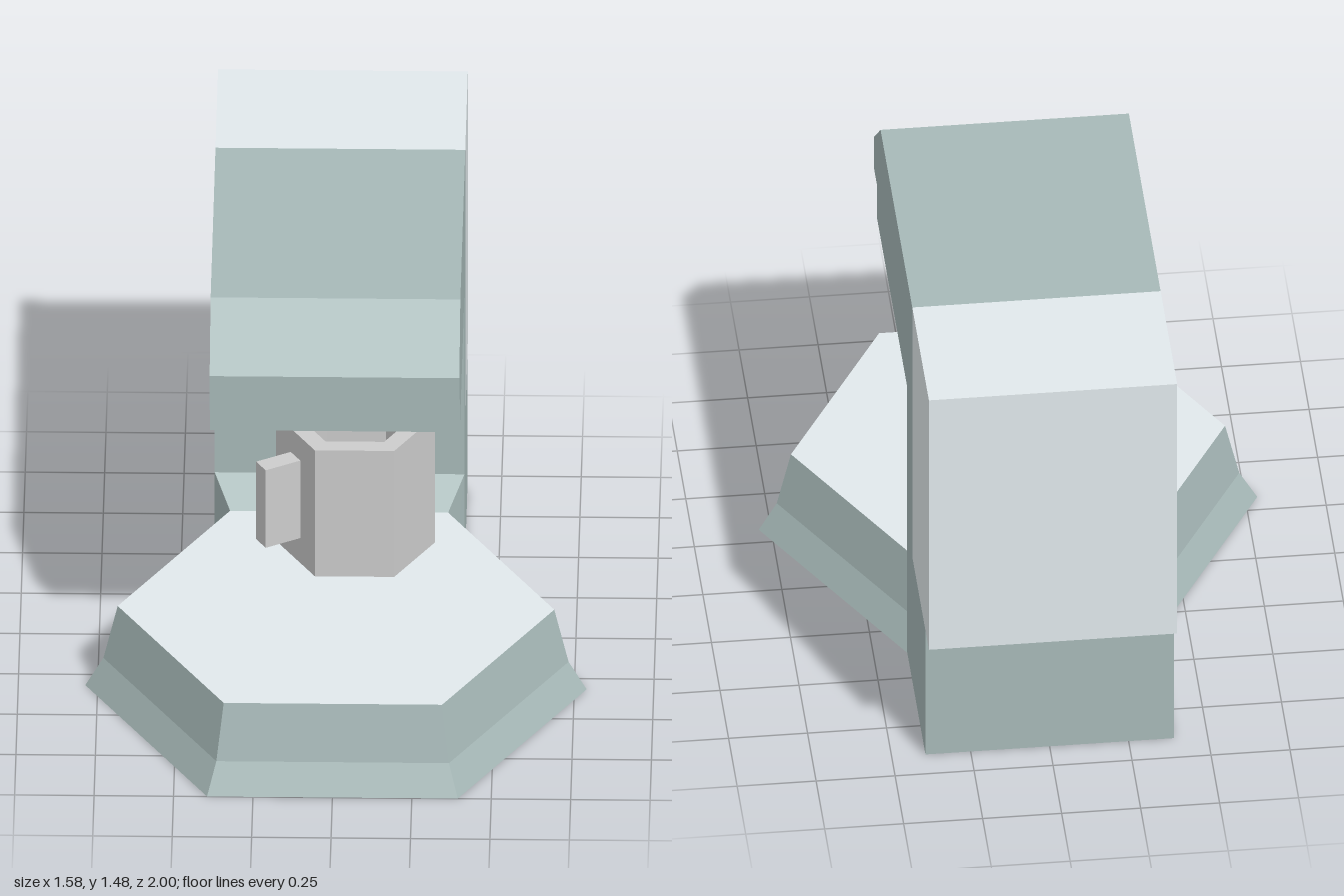
import * as THREE from 'three';
import { ConvexGeometry } from 'three/addons/geometries/ConvexGeometry.js';

const mat = (color) => new THREE.MeshStandardMaterial({ color, flatShading: true });

export function createModel() {
  const model = new THREE.Group();
  const shell = mat(0xa7b9b8), pale = mat(0xe1e9ec), ceramic = mat(0xccc9c9);
  const HALF = 0.393, BASE_Z = 0.316, BASE_TOP = 0.29, BACK = -0.365;

  const add = (name, geometry, material, x = 0, y = 0, z = 0) => {
    const mesh = new THREE.Mesh(geometry, material);
    mesh.name = name;
    mesh.position.set(x, y, z);
    model.add(mesh);
    return mesh;
  };
  // Six-sided turned form with a flat side facing the front
  const hexLathe = (profile) => new THREE.LatheGeometry(
    profile.map(([r, y]) => new THREE.Vector2(r, y)), 6).rotateY(Math.PI / 6);

  // Flared hexagonal base with a pale top plate
  add('base', hexLathe([[0, 0], [0.789, 0], [0.732, 0.1], [0.687, BASE_TOP]]), shell, 0, 0, BASE_Z);
  add('basePlate', new THREE.CircleGeometry(0.687, 6).rotateX(-Math.PI / 2), pale, 0, BASE_TOP, BASE_Z);

  // Sloped neck joining the base to the column
  const neck = [];
  for (const s of [-1, 1]) {
    for (const [x, y, z] of [[HALF, 0, BACK], [0.366, 0.1, -0.318], [0.343, BASE_TOP, -0.279], [HALF, 0.38, BACK]]) {
      neck.push(new THREE.Vector3(s * x, y, z));
    }
  }
  add('neck', new ConvexGeometry(neck), shell);

  // Column and overhanging brew head, drawn as a side profile (z, y)
  const side = new THREE.Shape([
    [-0.9, 0], [BACK, 0], [BACK, 1.05], [0.51, 1.05], [0.51, 1.18], [0.605, 1.18],
    [0.605, 1.303], [0.412, 1.477], [-0.515, 1.477], [-0.515, 0.49], [-0.9, 0.49],
  ].map(([z, y]) => new THREE.Vector2(z, y)));
  const body = new THREE.ExtrudeGeometry(side, { depth: 2 * HALF, bevelEnabled: false });
  add('body', body.rotateY(-Math.PI / 2), shell, HALF);

  // Water tank on the back
  add('waterTank', new THREE.BoxGeometry(2 * HALF, 0.987, 0.485), pale, 0, 0.9835, -0.7575);

  // Hollow hexagonal mug
  const MUG_X = 0.055, MUG_Z = -0.095;
  add('mug', hexLathe([[0, 0], [0.25, 0], [0.25, 0.46], [0.185, 0.46], [0.185, 0.08], [0, 0.08]]),
    ceramic, MUG_X, BASE_TOP, MUG_Z);

  // Mug handle, standing out from the front right wall
  const handle = add('mugHandle', new THREE.BoxGeometry(0.15, 0.283, 0.062), ceramic,
    MUG_X - 0.866 * 0.266, 0.5225, MUG_Z + 0.5 * 0.266);
  handle.rotation.y = Math.PI / 6;
  handle.rotation.y += Math.PI;

  return model;
}
